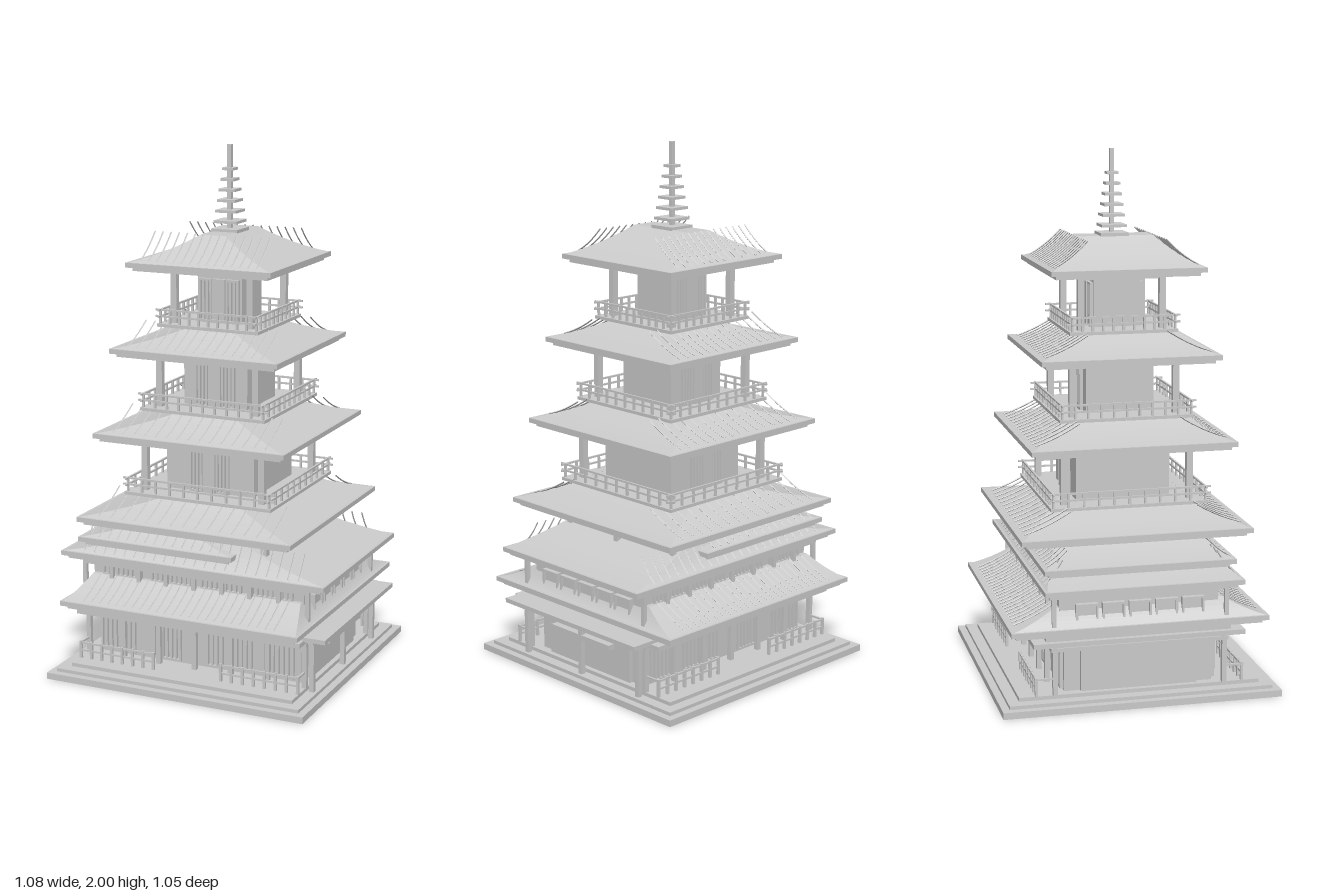
import * as THREE from 'three';

const grey = new THREE.MeshStandardMaterial({ color: 0xcccccc, flatShading: true, side: THREE.DoubleSide });

// Box given by its centre in x and z and its lower and upper y
function box(parent, name, w, d, y0, y1, x = 0, z = 0) {
  const m = new THREE.Mesh(new THREE.BoxGeometry(w, y1 - y0, d), grey);
  m.name = name;
  m.position.set(x, (y0 + y1) / 2, z);
  parent.add(m);
  return m;
}

const rise = t => 0.6 * t + 0.4 * t * t;

// Concave hipped surface lofted from rectangles
function hipGeometry(hx, hz, tx, tz, y, h, steps = 6) {
  const pos = [];
  const ring = t => {
    const x = hx + (tx - hx) * t, z = hz + (tz - hz) * t, v = y + h * rise(t);
    return [[-x, v, z], [x, v, z], [x, v, -z], [-x, v, -z]];
  };
  const quad = (a, b, c, d) => pos.push(...a, ...b, ...c, ...a, ...c, ...d);
  for (let i = 0; i < steps; i++) {
    const lo = ring(i / steps), hi = ring((i + 1) / steps);
    for (let k = 0; k < 4; k++) quad(lo[k], lo[(k + 1) % 4], hi[(k + 1) % 4], hi[k]);
  }
  quad(...ring(1));
  const g = new THREE.BufferGeometry();
  g.setAttribute('position', new THREE.Float32BufferAttribute(pos, 3));
  g.computeVertexNormals();
  return g;
}

// Roof: two eave slabs, curved hips, and tile ribs on the front and back slopes
function roof(parent, { hx, hz, tx, tz, y, h, ribs = 15, ribX = hx * 0.8, x = 0 }) {
  const g = new THREE.Group();
  g.name = 'roof';
  g.position.x = x;
  parent.add(g);
  box(g, 'eaveSlab', 2 * hx, 2 * hz, y - 0.018, y);
  box(g, 'eaveUnderside', 2 * hx - 0.04, 2 * hz - 0.04, y - 0.032, y - 0.018);
  const slope = new THREE.Mesh(hipGeometry(hx - 0.01, hz - 0.01, tx, tz, y, h), grey);
  slope.name = 'roofSlope';
  g.add(slope);
  const n = 5;
  for (const s of [-1, 1]) {
    const pts = [];
    for (let i = 0; i <= n; i++) {
      const t = 0.08 + 0.92 * i / n;
      pts.push(new THREE.Vector3(0, y + h * rise(t) + 0.002, s * (hz - 0.01 + (tz - hz + 0.01) * t)));
    }
    const tube = new THREE.TubeGeometry(new THREE.CatmullRomCurve3(pts), n, 0.003, 4);
    for (let i = 0; i < ribs; i++) {
      const rib = new THREE.Mesh(tube, grey);
      rib.name = 'tileRib';
      rib.position.x = -ribX + 2 * ribX * i / (ribs - 1) - 0.005;
      g.add(rib);
    }
  }
}

// Balustrade around a rectangle, with rail ends crossing at the corners
function balustrade(parent, hx, hz, y, height, count) {
  const g = new THREE.Group();
  g.name = 'balustrade';
  parent.add(g);
  for (const s of [-1, 1]) {
    for (const v of [0.55, 1]) {
      box(g, 'rail', 2 * hx + 0.04, 0.007, y + height * v - 0.007, y + height * v, 0, s * hz);
      box(g, 'rail', 0.007, 2 * hz + 0.04, y + height * v - 0.007, y + height * v, s * hx, 0);
    }
    for (let i = 0; i < count; i++) {
      const u = -1 + 2 * i / (count - 1);
      box(g, 'railPost', 0.008, 0.008, y, y + height, u * hx, s * hz);
      if (i > 0 && i < count - 1) box(g, 'railPost', 0.008, 0.008, y, y + height, s * hx, u * hz);
    }
  }
}

// Framed opening with vertical bars on the front or back wall
function lattice(parent, x, w, z, y0, y1, bars) {
  const g = new THREE.Group();
  g.name = 'latticeWindow';
  parent.add(g);
  for (const y of [y0, y1 - 0.008]) box(g, 'frameRail', w, 0.012, y, y + 0.008, x, z);
  for (let i = 0; i <= bars; i++) box(g, 'bar', 0.007, 0.012, y0, y1, x - w / 2 + w * i / bars, z);
}

function corners(parent, name, size, px, pz, y0, y1) {
  for (const sx of [-1, 1]) for (const sz of [-1, 1]) box(parent, name, size, size, y0, y1, sx * px, sz * pz);
}

// Open gallery storey: balcony, corner pillars, core with lattice doors
function storey(parent, { y, top, balcony, pillar, core }) {
  const g = new THREE.Group();
  g.name = 'storey';
  parent.add(g);
  box(g, 'balconyFloor', 2 * balcony, 2 * balcony, y - 0.012, y);
  balustrade(g, balcony - 0.01, balcony - 0.01, y, 0.055, 11);
  corners(g, 'pillar', 0.024, pillar, pillar, y, top);
  box(g, 'core', 2 * core, 2 * core, y, top);
  for (const s of [-1, 1]) {
    const z = s * (core + 0.006);
    box(g, 'doorPanel', 0.05, 0.018, y, top - 0.04, 0, z);
    for (const sx of [-1, 1]) lattice(g, sx * 0.055, 0.045, z, y, top - 0.04, 3);
    box(g, 'tieBeam', 2 * pillar, 0.014, top - 0.02, top, 0, s * pillar);
    box(g, 'tieBeam', 0.014, 2 * pillar, top - 0.02, top, s * pillar, 0);
  }
}

export function createModel() {
  const model = new THREE.Group();
  model.name = 'pagoda';
  const body = new THREE.Group();
  body.name = 'tower';
  body.position.set(-0.003, 0, -0.003);
  model.add(body);

  // Stepped plinth
  [[0.525, 0, 0.025], [0.497, 0.025, 0.038], [0.455, 0.038, 0.052]].forEach(([h, a, b]) => box(body, 'plinthStep', 2 * h, 2 * h, a, b));

  // Ground floor hall
  const ground = new THREE.Group();
  ground.name = 'groundFloor';
  body.add(ground);
  box(ground, 'hallWalls', 0.84, 0.56, 0.05, 0.25);
  for (const s of [-1, 1]) {
    for (let i = 0; i < 7; i++) box(ground, 'column', 0.018, 0.018, 0.05, 0.25, -0.45 + 0.15 * i, s * 0.32);
    box(ground, 'lintel', 0.92, 0.03, 0.215, 0.23, 0, s * 0.32);
    for (const [x, w, n] of [[-0.34, 0.14, 7], [-0.13, 0.11, 6], [0.13, 0.18, 9], [0.33, 0.12, 6]]) {
      lattice(ground, x, w, s * 0.288, 0.06, 0.2, n);
    }
    // Front and back railings, open at the middle
    for (const sx of [-1, 1]) {
      for (const y of [0.08, 0.11]) box(ground, 'rail', 0.31, 0.007, y, y + 0.007, sx * 0.295, s * 0.39);
      for (let i = 0; i < 8; i++) box(ground, 'railPost', 0.01, 0.01, 0.05, 0.12, sx * (0.14 + 0.31 * i / 7), s * 0.39);
      box(ground, 'endRail', 0.007, 0.07, 0.11, 0.117, sx * 0.45, s * 0.355);
    }
    box(ground, 'sidePanel', 0.02, 0.44, 0.05, 0.22, s * 0.425, 0);
    box(ground, 'sideBeam', 0.02, 0.64, 0.215, 0.23, s * 0.45, 0);
  }
  box(ground, 'lowerEave', 0.92, 0.8, 0.232, 0.25);
  box(ground, 'eaveSupport', 0.88, 0.7, 0.25, 0.275);

  // Porch on the left side
  const porch = new THREE.Group();
  porch.name = 'porch';
  body.add(porch);
  box(porch, 'porchRoof', 0.14, 0.72, 0.245, 0.262, 0.473, 0);
  box(porch, 'porchBeam', 0.02, 0.66, 0.225, 0.245, 0.475, 0);
  for (const z of [-0.31, 0, 0.31]) box(porch, 'porchPost', 0.018, 0.018, 0.038, 0.23, 0.475, z);
  box(porch, 'board', 0.03, 0.32, 0.175, 0.195, 0.47, 0);

  // Second floor hall
  roof(body, { hx: 0.485, hz: 0.485, tx: 0.43, tz: 0.32, y: 0.305, h: 0.07, ribs: 24, ribX: 0.39 });
  const hall = new THREE.Group();
  hall.name = 'secondFloor';
  body.add(hall);
  box(hall, 'hallWalls', 0.87, 0.6, 0.3, 0.44);
  for (const s of [-1, 1]) {
    for (let i = 0; i < 9; i++) box(hall, 'column', 0.016, 0.016, 0.305, 0.44, -0.46 + 0.115 * i, s * 0.325);
    for (let i = 0; i < 4; i++) lattice(hall, -0.31 + 0.207 * i, 0.16, s * 0.306, 0.37, 0.42, 8);
    box(hall, 'lintel', 0.93, 0.05, 0.415, 0.43, 0, s * 0.31);
    for (let i = 0; i < 5; i++) {
      const z = -0.2 + 0.1 * i;
      box(hall, 'sideWindow', 0.012, 0.075, 0.31, 0.38, s * 0.44, z);
      for (const e of [-1, 1]) box(hall, 'windowFrame', 0.03, 0.008, 0.305, 0.388, s * 0.44, z + e * 0.038);
      box(hall, 'windowHead', 0.03, 0.084, 0.38, 0.388, s * 0.44, z);
    }
  }

  // Paired middle roofs
  roof(body, { hx: 0.54, hz: 0.372, tx: 0.2, tz: 0.29, y: 0.465, h: 0.09, ribs: 22, ribX: 0.44 });
  roof(body, { hx: 0.32, hz: 0.36, tx: 0.1, tz: 0.27, y: 0.525, h: 0.06, ribs: 15, ribX: 0.27, x: -0.152 });
  box(body, 'lowerCore', 0.44, 0.48, 0.46, 0.6);
  corners(body, 'pillar', 0.024, 0.27, 0.28, 0.46, 0.6);
  for (const s of [-1, 1]) box(body, 'sidePost', 0.02, 0.02, 0.5, 0.6, s * 0.29, 0);

  // Upper roofs and gallery storeys
  const tiers = [
    { half: 0.435, y: 0.628, next: { y: 0.71, top: 0.918, balcony: 0.3, pillar: 0.24, core: 0.18 } },
    { half: 0.387, y: 0.945, next: { y: 1.03, top: 1.235, balcony: 0.255, pillar: 0.197, core: 0.13 } },
    { half: 0.338, y: 1.262, next: { y: 1.345, top: 1.55, balcony: 0.205, pillar: 0.155, core: 0.09 } },
    { half: 0.291, y: 1.58 },
  ];
  for (const { half, y, next } of tiers) {
    roof(body, { hx: half, hz: half, tx: next ? next.core * 0.55 + 0.02 : 0.05, tz: next ? next.pillar : 0.147, y, h: next ? 0.08 : 0.1 });
    if (next) storey(body, next);
  }

  // Spire with stacked square plates
  const spire = new THREE.Group();
  spire.name = 'spire';
  body.add(spire);
  box(spire, 'spireBase', 0.108, 0.108, 1.67, 1.69);
  box(spire, 'spireRod', 0.016, 0.016, 1.69, 2);
  [0.047, 0.042, 0.036, 0.032, 0.027, 0.022].forEach((h, i) => box(spire, 'spirePlate', 2 * h, 2 * h, 1.71 + 0.039 * i, 1.72 + 0.039 * i));
  return model;
}
